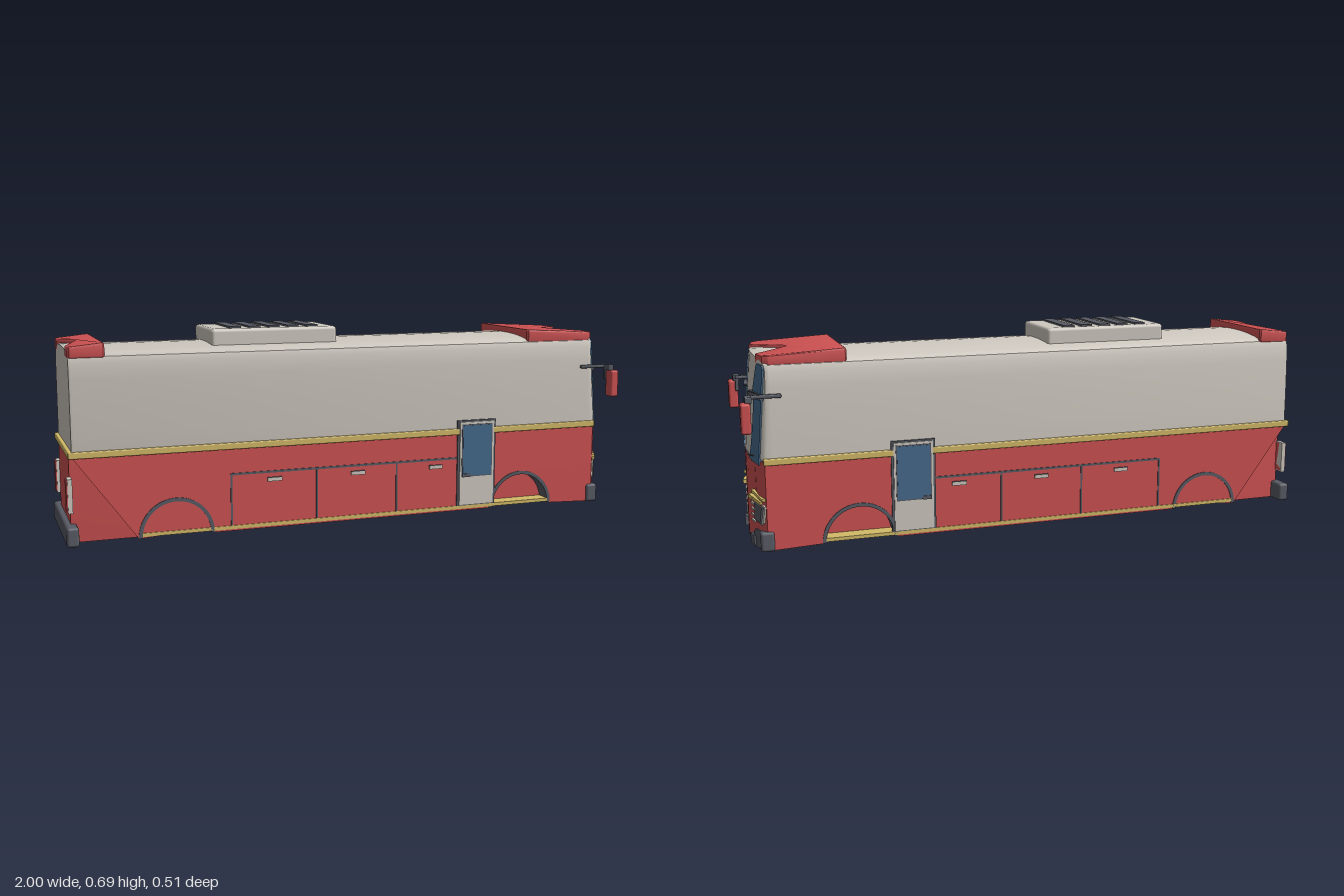
import * as THREE from 'three';
import { toCreasedNormals } from 'three/addons/utils/BufferGeometryUtils.js';
import { RoundedBoxGeometry } from 'three/addons/geometries/RoundedBoxGeometry.js';

const paint = (name, color) => new THREE.MeshStandardMaterial({ name, color });

export function createModel() {
  const red = paint('red paint', 0xcd5152);
  const cream = paint('cream paint', 0xcfc9c0);
  const grey = paint('dark grey trim', 0x585b64);
  const blue = paint('blue glass', 0x456a8c);
  const gold = paint('gold trim', 0xd2ba68);
  const bus = new THREE.Group();
  bus.name = 'bus';

  function add(name, geometry, material) {
    const mesh = new THREE.Mesh(geometry, material);
    mesh.name = name;
    bus.add(mesh);
    return mesh;
  }
  // Boxes are given by their limits on each axis; r rounds the edges
  function box(name, mat, [x0, x1], [y0, y1], [z0, z1], r = 0) {
    const size = [x1 - x0, y1 - y0, Math.abs(z1 - z0)];
    const geo = r ? new RoundedBoxGeometry(...size, 3, r) : new THREE.BoxGeometry(...size);
    const mesh = add(name, geo, mat);
    mesh.position.set((x0 + x1) / 2, (y0 + y1) / 2, (z0 + z1) / 2);
    return mesh;
  }
  // Bowed, slightly raked nose surface
  const noseX = (y, z) => 0.967 - Math.max(0, y - 0.3) * 0.085 - 0.7 * z * z
    - 12 * Math.max(0, Math.abs(z) - 0.17) ** 2;

  function warp(geo, rule) {
    const p = geo.attributes.position;
    const v = new THREE.Vector3();
    for (let i = 0; i < p.count; i++) {
      rule(v.fromBufferAttribute(p, i));
      p.setXYZ(i, v.x, v.y, v.z);
    }
    geo.computeVertexNormals();
    return geo;
  }

  // Body shell: a mirrored cross-section lofted along x, closed at both ends
  function shell(half, rearX, midY) {
    const ring = [...half, ...half.slice(1, -1).reverse().map(([z, y]) => [-z, y])];
    const scales = [0.001, 0.2, 0.4, 0.6, 0.8, 0.93, 0.985];
    const stations = [
      ...scales.map(s => [s, () => rearX]), [1, () => rearX + 0.008], [1, () => 0.9],
      [1, (y, z) => noseX(y, z) - 0.006], ...scales.slice().reverse().map(s => [s, noseX])];
    const pos = [], index = [], n = ring.length;
    stations.forEach(([s, xAt], i) => ring.forEach(([rz, ry], j) => {
      const z = rz * s, y = midY + (ry - midY) * s;
      pos.push(xAt(y, z), y, z);
      if (i === stations.length - 1) return;
      const a = i * n + j, b = i * n + (j + 1) % n;
      index.push(a, a + n, b, b, a + n, b + n);
    }));
    const geo = new THREE.BufferGeometry();
    geo.setAttribute('position', new THREE.Float32BufferAttribute(pos, 3));
    geo.setIndex(index);
    return toCreasedNormals(geo, 0.6);
  }
  add('upperBody', shell([[0, 0.3], [0.1, 0.3], [0.2, 0.3], [0.2, 0.38], [0.199, 0.46],
    [0.197, 0.54], [0.194, 0.59], [0.188, 0.61], [0.175, 0.62], [0.15, 0.625],
    [0.1, 0.631], [0.05, 0.634], [0, 0.635]], -0.975, 0.46), cream);
  add('lowerCore', shell([[0, 0.005], [0.075, 0.005], [0.15, 0.005], [0.15, 0.1],
    [0.15, 0.2], [0.15, 0.301], [0.075, 0.301], [0, 0.301]], -0.98, 0.15), red);

  // Outer side skins with wheel arch cut-outs
  const arches = [-0.645, 0.625];
  const skin = new THREE.Shape();
  skin.moveTo(-0.98, 0.005);
  for (const x of arches) skin.absarc(x, 0.012, 0.125, Math.PI, 0, true);
  skin.lineTo(0.95, 0.005).lineTo(0.95, 0.15).lineTo(0.95, 0.3).lineTo(-0.98, 0.3);
  const archRing = new THREE.Shape();
  archRing.absarc(0, 0, 0.126, 0, Math.PI, false);
  archRing.absarc(0, 0, 0.114, Math.PI, 0, true);

  // Plate that follows the nose; outline points are [z, y]
  function nosePlate(name, mat, points, s, thick = 0.006) {
    const shape = new THREE.Shape(points.map(([z, y]) => new THREE.Vector2(-s * z, y)));
    const geo = new THREE.ExtrudeGeometry(shape, { depth: thick + 0.004, bevelEnabled: false });
    add(name, warp(geo, v => v.set(noseX(v.y, v.x) + v.z - 0.004, v.y, -v.x)), mat);
  }
  const rect = (z0, z1, y0, y1) => [[z0, y0], [z1, y0], [z1, y1], [z0, y1]];

  for (const s of [1, -1]) {
    const side = (a, b) => [s * a, s * b];
    const skinGeo = new THREE.ExtrudeGeometry(skin,
      { depth: 0.052, steps: 6, bevelEnabled: false, curveSegments: 24 });
    skinGeo.translate(0, 0, s > 0 ? 0.15 : -0.202);
    warp(skinGeo, v => { if (v.x > 0.9) v.x = noseX(v.y, v.z); });
    add('sideSkin', toCreasedNormals(skinGeo, 0.5), red);

    for (const x of arches) {
      const geo = new THREE.ExtrudeGeometry(archRing,
        { depth: 0.055, bevelEnabled: false, curveSegments: 24 });
      geo.translate(x, 0.014, s > 0 ? 0.15 : -0.205);
      add('wheelArchTrim', toCreasedNormals(geo, 0.5), grey);
    }
    box('sillStrip', gold, [-0.76, 0.74], [0.018, 0.03], side(0.14, 0.205));
    box('waistStripe', gold, [-0.985, 0.93], [0.289, 0.311], side(0.19, 0.209), 0.004);

    // Luggage hatches
    box('hatchTopSeam', grey, [-0.462, 0.372], [0.201, 0.208], side(0.198, 0.205));
    for (const x of [-0.46, -0.16, 0.135]) {
      box('hatchSeam', grey, [x - 0.003, x + 0.003], [0.03, 0.204], side(0.198, 0.205));
      box('hatchHandle', cream, [x + 0.125, x + 0.175], [0.172, 0.184], side(0.2, 0.208));
      box('hatchHandleShadowTrim', grey, [x + 0.125, x + 0.175], [0.182, 0.186], side(0.2, 0.207));
    }

    // Door
    box('doorFrame', grey, [0.368, 0.518], [0.03, 0.34], side(0.195, 0.207));
    box('door', cream, [0.376, 0.51], [0.034, 0.334], side(0.195, 0.211));
    box('doorWindowSeal', grey, [0.383, 0.503], [0.136, 0.326], side(0.2, 0.212));
    box('doorWindow', blue, [0.387, 0.499], [0.14, 0.322], side(0.2, 0.2135));
    box('doorHandle', grey, [0.385, 0.415], [0.136, 0.148], side(0.2, 0.217));

    // Windscreen corner glass
    nosePlate('cornerGlass', blue, [[0.186, 0.6], [0.18, 0.61], [0.14, 0.61], [0.132, 0.6],
      [0.108, 0.525], [0.12, 0.5], [0.125, 0.46], [0.124, 0.4], [0.116, 0.34],
      [0.108, 0.312], [0.09, 0.303], [0.13, 0.293], [0.187, 0.289]], s, 0.005);
    // Head lamps, indicators and grille slots
    nosePlate('headLampSurround', cream, [[0.201, 0.152], [0.195, 0.159], [0.147, 0.16],
      [0.146, 0.098], [0.188, 0.09], [0.196, 0.1]], s, 0.005);
    nosePlate('headLamp', grey, [[0.195, 0.15], [0.15, 0.157], [0.147, 0.102], [0.187, 0.095]], s, 0.009);
    nosePlate('innerIndicator', gold, rect(0.09, 0.138, 0.162, 0.175), s, 0.012);
    nosePlate('outerIndicator', gold, [[0.14, 0.163], [0.188, 0.159], [0.19, 0.169], [0.14, 0.175]], s, 0.01);
    nosePlate('lampBrow', gold, [[0.2, 0.171], [0.135, 0.188], [0.133, 0.199], [0.2, 0.18]], s, 0.012);
    for (const y of [0.088, 0.107, 0.127, 0.146])
      nosePlate('grilleSlot', cream, rect(0.09, 0.126, y - 0.003, y + 0.003), s, 0.005);

    // Front bumper corners
    box('bumperCorner', grey, [0.905, 0.95], [0.003, 0.07], side(0.155, 0.209), 0.01);
    nosePlate('bumperFace', grey, [[0.2, 0.005], [0.2, 0.068], [0.145, 0.068], [0.125, 0.05],
      [0.125, 0.005]], s, 0.008);
    nosePlate('bumperPad', grey, rect(0.098, 0.14, 0.01, 0.043), s, 0.012);

    // Mirror bracket wrapping the corner, and the mirror
    nosePlate('mirrorBand', grey, [[0.07, 0.511], [0.085, 0.503], [0.12, 0.498], [0.19, 0.499],
      [0.19, 0.518], [0.11, 0.519], [0.085, 0.518]], s, 0.012);
    box('mirrorSideBar', grey, [0.865, 0.975], [0.508, 0.52], side(0.196, 0.212), 0.004);
    box('mirrorArm', grey, [0.96, 0.982], [0.5, 0.521], side(0.205, 0.244), 0.004);
    box('mirrorStay', grey, [0.962, 0.975], [0.465, 0.52], side(0.205, 0.215), 0.003);
    box('mirror', red, [0.965, 0.997], [0.404, 0.502], side(0.214, 0.255), 0.008);

    // Tail lamps
    box('tailLampFrame', cream, [-0.99, -0.975], [0.11, 0.222], side(0.145, 0.19));
    box('tailLamp', red, [-0.994, -0.975], [0.114, 0.218], side(0.149, 0.186));
  }
  box('rearWaistStripe', gold, [-0.987, -0.965], [0.289, 0.311], [-0.209, 0.209], 0.004);
  box('rearBumper', grey, [-1, -0.96], [0.003, 0.068], [-0.209, 0.209], 0.01);
  nosePlate('windscreenSeal', grey, [[-0.1, 0.302], [0.1, 0.302], [0.05, 0.306], [0, 0.306], [-0.05, 0.306]], 1, 0.003);
  nosePlate('wiper', grey, [[-0.1, 0.306], [-0.15, 0.312], [-0.15, 0.316], [-0.1, 0.309]], 1, 0.01);

  // Roof fairings: plan outline in [x, z], top height given by a rule
  function fairing(name, half, topAt) {
    const outline = [...half, ...half.slice(0, -1).reverse().map(([x, z]) => [x, -z])];
    const shape = new THREE.Shape(outline.map(([x, z]) => new THREE.Vector2(x, z)));
    const geo = new THREE.ExtrudeGeometry(shape, {
      depth: 0.04, bevelSize: 0.006, bevelThickness: 0.01, bevelOffset: -0.006, bevelSegments: 3 });
    geo.rotateX(-Math.PI / 2);
    warp(geo, v => { v.y = 0.605 + (v.y + 0.01) / 0.06 * (topAt(v.x) - 0.605); });
    add(name, toCreasedNormals(geo, 0.5), red);
  }
  fairing('frontFairing', [[0.65, 0.18], [0.655, 0.187], [0.9, 0.187], [0.918, 0.175], [0.932, 0.11],
    [0.9, 0.085], [0.86, 0.045], [0.835, 0.02], [0.82, 0]], x => 0.655 - (x - 0.65) * 0.055);
  fairing('rearFairing', [[-0.86, 0.186], [-0.865, 0.191], [-0.97, 0.191], [-0.976, 0.18], [-0.976, 0.12],
    [-0.955, 0.07], [-0.94, 0.03], [-0.93, 0]], x => 0.654 - Math.max(0, -0.9 - x) * 0.16);

  // Roof air unit with slats
  box('roofUnit', cream, [-0.5, -0.06], [0.61, 0.682], [-0.126, 0.126], 0.012);
  for (let i = 0; i < 5; i++) {
    const x = -0.415 + i * 0.0675;
    box('roofSlat', grey, [x - 0.02, x + 0.02], [0.675, 0.688], [-0.11, 0.11]);
  }
  return bus;
}
